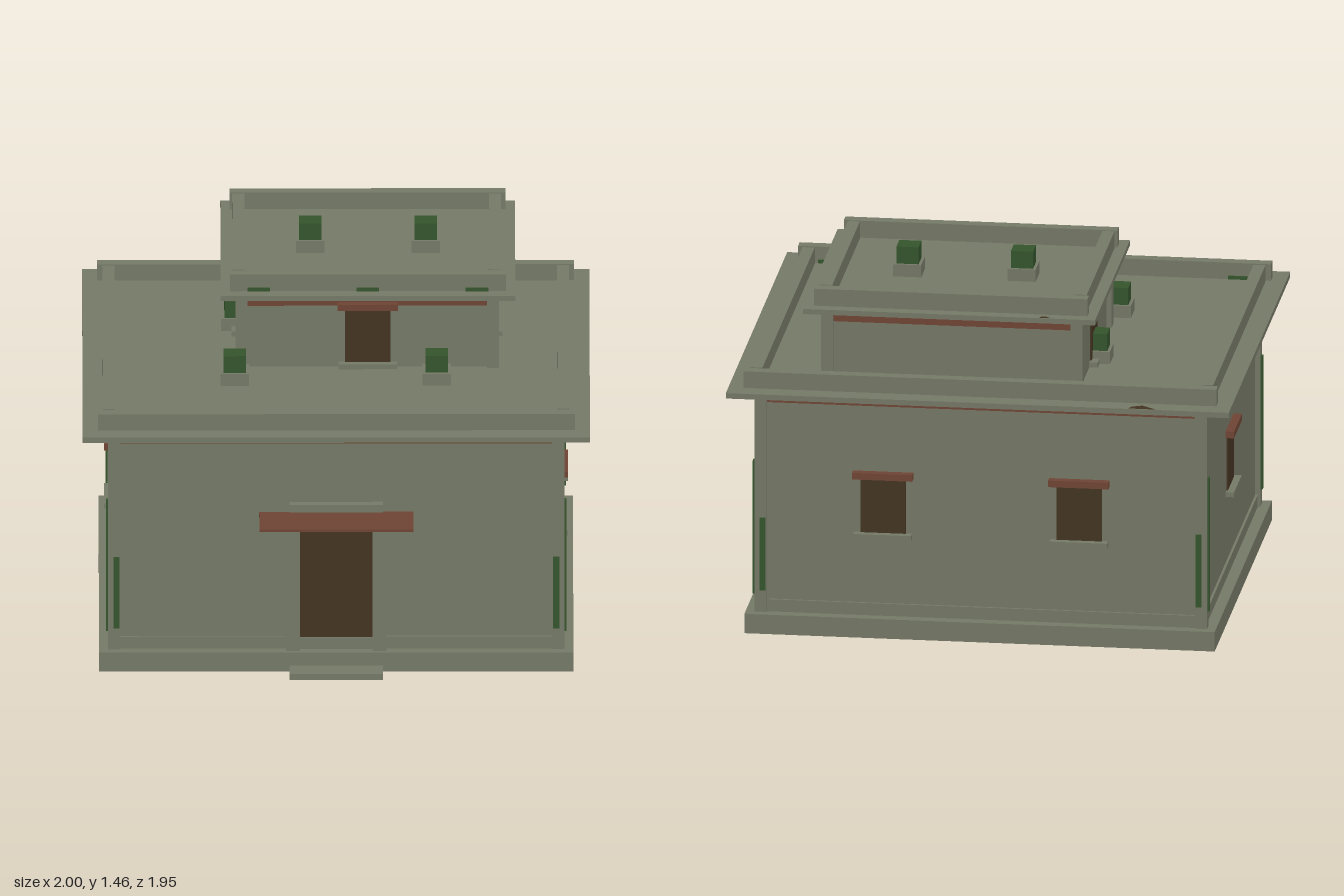
import * as THREE from 'three';

const mat = (name, color) => Object.assign(new THREE.MeshStandardMaterial({ color }), { name });

export function createModel() {
  const plaster = mat('plaster', 0x767a67);
  const redWood = mat('redWood', 0x704534);
  const darkWood = mat('darkWood', 0x433421);
  const green = mat('green', 0x35552c);
  const model = new THREE.Group();
  model.name = 'adobeHouse';

  // Box given by its limits on each axis
  function box(name, m, x0, x1, y0, y1, z0, z1, parent = model) {
    const mesh = new THREE.Mesh(new THREE.BoxGeometry(x1 - x0, y1 - y0, z1 - z0), m);
    mesh.position.set((x0 + x1) / 2, (y0 + y1) / 2, (z0 + z1) / 2);
    mesh.name = name;
    parent.add(mesh);
  }

  // Hollow rectangle of four walls
  function ring(name, m, x0, x1, y0, y1, z0, z1, t) {
    const g = new THREE.Group();
    g.name = name;
    box(name + 'Front', m, x0, x1, y0, y1, z1 - t, z1, g);
    box(name + 'Back', m, x0, x1, y0, y1, z0, z0 + t, g);
    box(name + 'Left', m, x1 - t, x1, y0, y1, z0 + t, z1 - t, g);
    box(name + 'Right', m, x0, x0 + t, y0, y1, z0 + t, z1 - t, g);
    model.add(g);
  }

  // Four corner posts
  function posts(name, x0, x1, y0, y1, z0, z1, t) {
    for (const x of [x0, x1 - t]) for (const z of [z0, z1 - t])
      box(name, plaster, x, x + t, y0, y1, z, z + t);
  }

  // Four parapet walls with small gaps near the corners
  function parapet(name, fx0, fx1, sx0, sx1, y0, y1, zBack, zFront, sz0, sz1) {
    const t = 0.048;
    box(name, plaster, fx0, fx1, y0, y1, zFront - t, zFront);
    box(name, plaster, fx0, fx1, y0, y1, zBack, zBack + t);
    box(name, plaster, sx0, sx0 + t, y0, y1, sz0, sz1);
    box(name, plaster, sx1 - t, sx1, y0, y1, sz0, sz1);
  }

  // Window with lintel and sill; local +z points out of the wall
  function windowAt(x, y, z, turn) {
    const g = new THREE.Group();
    g.name = 'window';
    box('windowPane', darkWood, -0.09, 0.09, 0, 0.23, -0.01, 0.006, g);
    box('lintel', redWood, -0.12, 0.12, 0.225, 0.252, -0.01, 0.034, g);
    box('sill', plaster, -0.115, 0.115, -0.02, 0, -0.01, 0.034, g);
    g.position.set(x, y, z);
    g.rotation.y = turn;
    model.add(g);
  }

  // Open-bottomed plinth and base, lower storey on top
  ring('plinth', plaster, -0.935, 0.935, 0, 0.08, -0.908, 0.835, 0.065);
  ring('baseBand', plaster, -0.89, 0.89, 0.08, 0.13, -0.863, 0.79, 0.02);
  box('wall', plaster, -0.88, 0.88, 0.13, 0.988, -0.853, 0.78);
  ring('redFrieze', redWood, -0.885, 0.885, 0.943, 0.988, -0.858, 0.785, 0.015);
  posts('cornerPost', -0.9, 0.9, 0.08, 0.988, -0.872, 0.798, 0.049);
  box('roofSlab', plaster, -1, 1, 0.988, 1.01, -0.975, 0.896);
  parapet('parapet', -0.94, 0.94, -0.92, 0.92, 1.01, 1.078, -0.896, 0.816, -0.837, 0.754);

  // Upper storey, its core reaching the ground
  box('upperWall', plaster, -0.377, 0.623, 0, 1.317, -0.79, 0.107);
  ring('upperFrieze', redWood, -0.382, 0.628, 1.268, 1.317, -0.795, 0.112, 0.02);
  posts('upperPost', -0.397, 0.643, 1.01, 1.317, -0.81, 0.127, 0.048);
  box('upperRoof', plaster, -0.455, 0.707, 1.317, 1.338, -0.872, 0.19);
  parapet('upperParapet', -0.418, 0.669, -0.408, 0.652, 1.338, 1.408, -0.823, 0.135, -0.765, 0.077);

  // Windows: two on the left and back, one on the right, three upstairs
  const q = Math.PI / 2;
  for (const z of [0.265, -0.34]) windowAt(0.88, 0.421, z, q);
  for (const x of [-0.39, 0.39]) windowAt(x, 0.421, -0.853, Math.PI);
  windowAt(-0.88, 0.421, -0.037, -q);
  windowAt(0.125, 1.031, 0.107, 0);
  windowAt(0.623, 1.031, -0.34, q);
  windowAt(-0.377, 1.031, -0.34, -q);

  // Entrance
  box('door', darkWood, -0.143, 0.143, 0, 0.62, 0.755, 0.793);
  box('threshold', plaster, -0.143, 0.143, 0.08, 0.13, 0.78, 0.798);
  for (const s of [-1, 1])
    box('doorPost', plaster, s * 0.171 - 0.027, s * 0.171 + 0.027, 0.08, 0.62, 0.775, 0.817);
  box('doorLintel', redWood, -0.208, 0.208, 0.615, 0.643, 0.775, 0.825);
  box('awning', redWood, -0.304, 0.304, 0.641, 0.653, 0.775, 0.975);
  box('doorCap', plaster, -0.184, 0.184, 0.663, 0.695, 0.775, 0.817);
  box('step', plaster, -0.184, 0.184, 0, 0.025, 0.835, 0.927);

  // Vines on the corner posts and blocks in the plinth corners
  for (const s of [-1, 1]) {
    for (const z of [0.767, -0.847])
      box('sideVine', green, s * 0.904 - 0.004, s * 0.904 + 0.004, 0.15, 0.7, z - 0.012, z + 0.012);
    for (const z of [0.801, -0.875])
      box('endVine', green, s * 0.867 - 0.012, s * 0.867 + 0.012, 0.17, 0.47, z - 0.004, z + 0.004);
    for (const z of [0.74, -0.813])
      box('cornerBlock', green, s * 0.84 - 0.043, s * 0.84 + 0.043, 0, 0.075, z - 0.043, z + 0.043);
  }

  // Roof planters, one against the upper storey's right wall
  for (const [x, y, z] of [[-0.4, 1.01, 0.265], [0.397, 1.01, 0.265], [-0.396, 1.01, -0.345],
    [-0.101, 1.338, -0.345], [0.354, 1.338, -0.345]]) {
    box('planterBase', plaster, x - 0.056, x + 0.056, y, y + 0.05, z - 0.056, z + 0.056);
    box('planterShrub', green, x - 0.044, x + 0.044, y + 0.05, y + 0.12, z - 0.044, z + 0.044);
  }

  // Moss at the foot of the front parapets
  for (const x of [-0.305, 0.125, 0.555])
    box('moss', green, x - 0.045, x + 0.045, 1.34, 1.354, 0.134, 0.142);
  for (const x of [-0.815, 0, 0.815])
    box('moss', green, x - 0.045, x + 0.045, 1.011, 1.025, 0.763, 0.769);

  // Worn chips on the back roof edges
  function chip(y, ...points) {
    const geo = new THREE.ShapeGeometry(new THREE.Shape(points.map(([x, z]) => new THREE.Vector2(x, -z))));
    geo.rotateX(-q);
    const mesh = new THREE.Mesh(geo, darkWood);
    mesh.position.y = y;
    mesh.name = 'roofChip';
    model.add(mesh);
  }
  chip(1.012, [-0.71, -0.975], [-0.6, -0.975], [-0.61, -0.95], [-0.65, -0.93]);
  chip(1.34, [-0.28, -0.872], [-0.23, -0.872], [-0.235, -0.86], [-0.255, -0.852]);

  return model;
}
